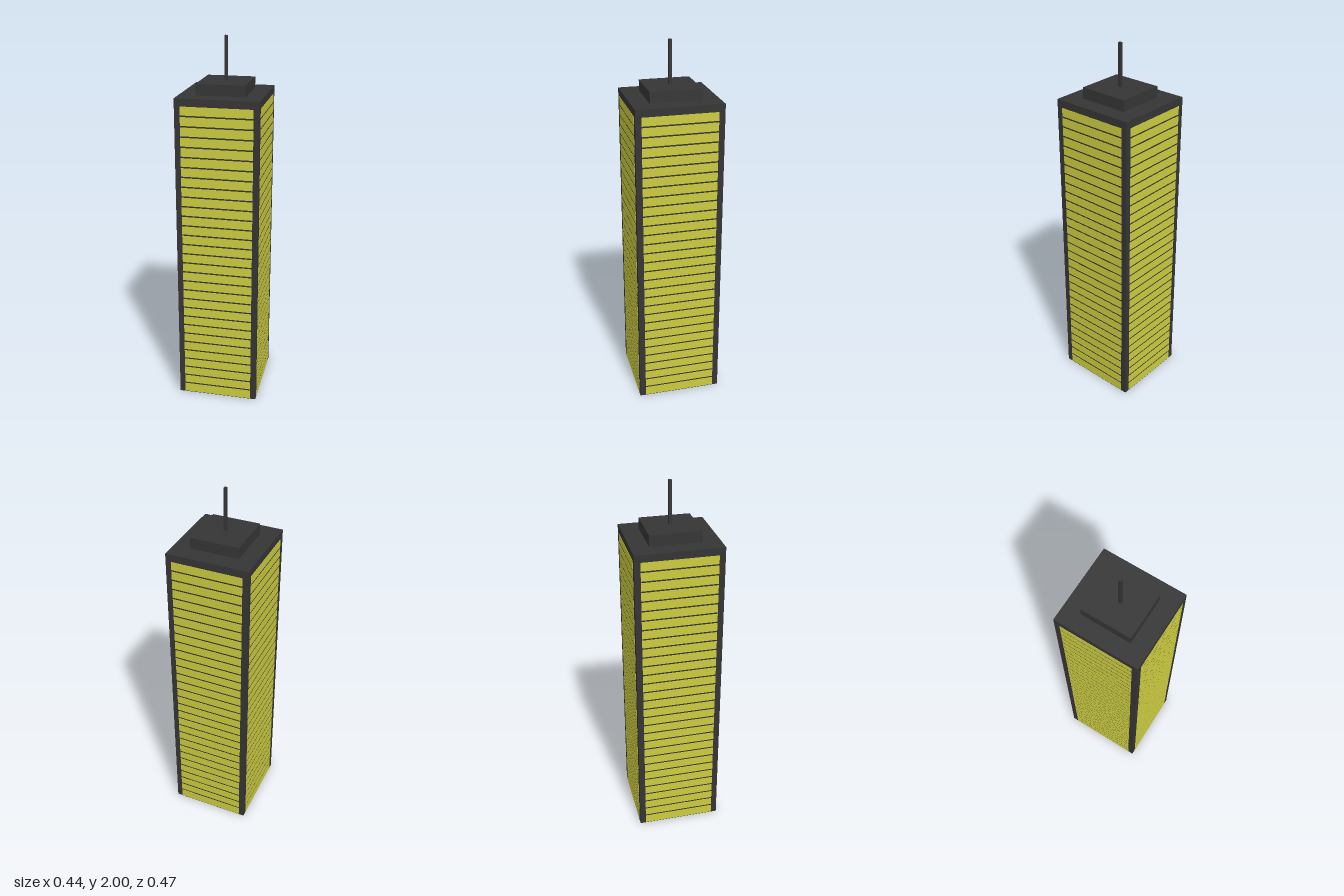
import * as THREE from 'three';

export function createModel() {
  const model = new THREE.Group();
  model.name = 'skyscraper';
  const dark = new THREE.MeshStandardMaterial({ color: 0x353535 });
  const yellow = new THREE.MeshStandardMaterial({ color: 0xcccc40 });

  // Box standing on height y
  function block(name, w, h, d, y, material = dark, parent = model) {
    const mesh = new THREE.Mesh(new THREE.BoxGeometry(w, h, d), material);
    mesh.name = name;
    mesh.position.y = y + h / 2;
    parent.add(mesh);
    return mesh;
  }

  // Tower, roof block and mast
  const W = 0.44, D = 0.464;
  block('tower', W, 1.71, D, 0);
  block('roofBlock', 0.26, 0.06, 0.274, 1.71);
  block('mast', 0.016, 0.23, 0.016, 1.77);

  // Window bands, one per floor on each of the four faces
  const floors = 31, pitch = 1.67 / floors, gap = 0.008, t = 0.002;
  const faces = [
    ['frontWindows', 0, 0.38, D / 2],
    ['leftWindows', Math.PI / 2, 0.4, W / 2],
    ['backWindows', Math.PI, 0.38, D / 2],
    ['rightWindows', -Math.PI / 2, 0.4, W / 2],
  ];
  for (const [name, angle, width, distance] of faces) {
    const face = new THREE.Group();
    face.name = name;
    face.rotation.y = angle;
    for (let i = 0; i < floors; i++) {
      const y = i === 0 ? 0.003 : i * pitch + gap;
      const top = (i + 1) * pitch;
      block('windowBand', width, top - y, t, y, yellow, face).position.z = distance;
    }
    model.add(face);
  }
  return model;
}
